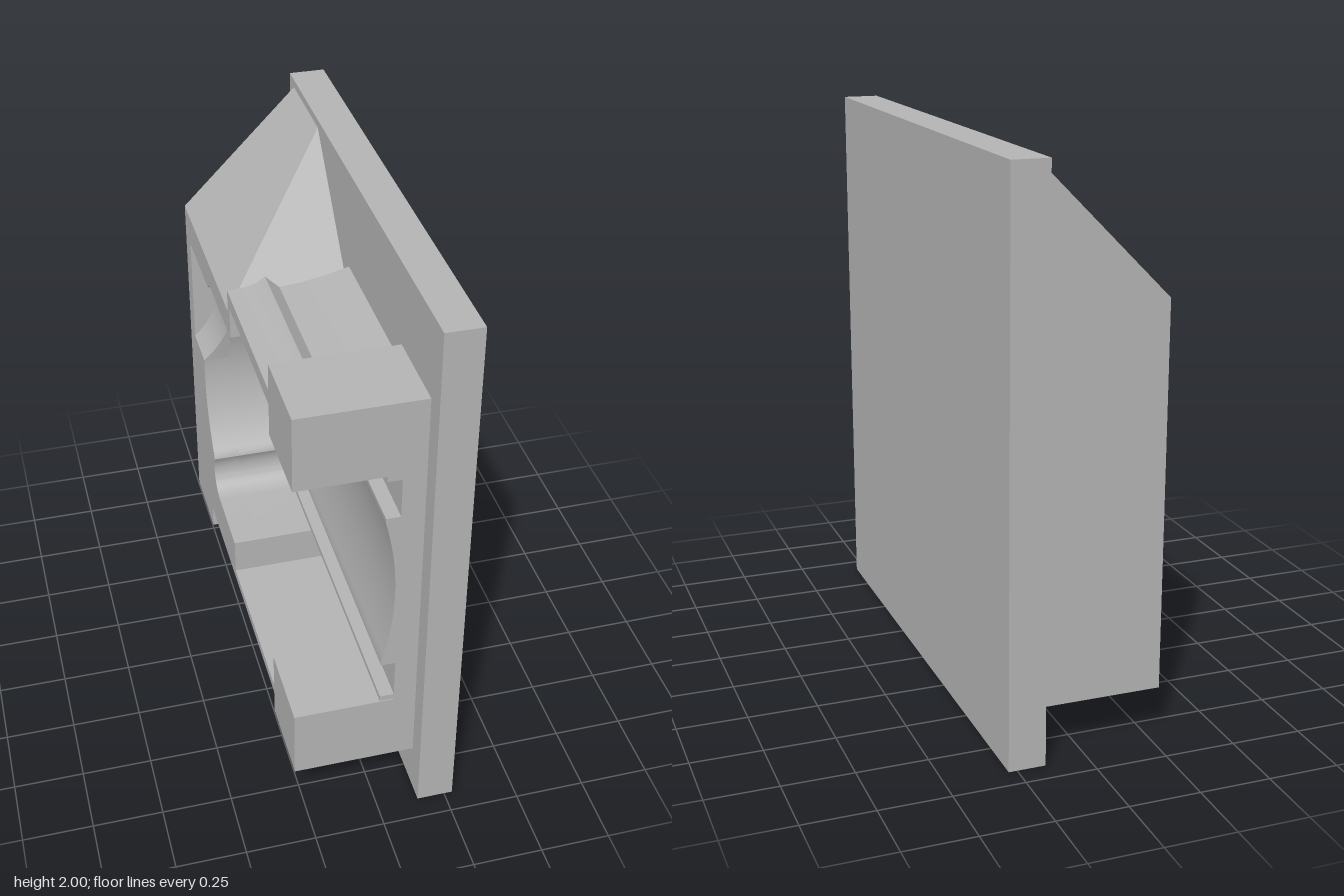
import * as THREE from 'three';
import { toCreasedNormals } from 'three/addons/utils/BufferGeometryUtils.js';
import { ConvexGeometry } from 'three/addons/geometries/ConvexGeometry.js';

const MID = 0.947; // height of the cavity centre
const OUT = -0.285, SPLIT = -0.185, BASE = 0.07, WALL = 0.15;
const LOW = 0.99, HIGH = 1.41, SCOOP_END = -0.775;

// rear limit of the cavity at height y: one large arc plus two small round slot ends
function rear(y) {
  const d = Math.abs(y - MID), e = d - 0.398;
  const big = -0.1 - Math.sqrt(Math.max(0, 0.495 ** 2 - d * d));
  const small = Math.abs(e) < 0.0951 ? -0.38 - Math.sqrt(Math.max(0, 0.095 ** 2 - e * e)) : 0;
  return Math.min(big, small);
}

const shapeOf = (pts) => new THREE.Shape(pts.map(([a, b]) => new THREE.Vector2(a, b)));

// outline of [z, y] points, extruded from x0 to x1
function slab(pts, x0, x1) {
  const g = new THREE.ExtrudeGeometry(shapeOf(pts.map(([z, y]) => [-z, y])), { depth: x1 - x0, bevelEnabled: false });
  g.rotateY(Math.PI / 2).translate(x0, 0, 0);
  return toCreasedNormals(g, 0.5);
}

// profile of [x, y] points, running from z = from(y) to z = to(y)
function bar(pts, from, to) {
  const g = new THREE.ExtrudeGeometry(shapeOf(pts), { depth: 1, bevelEnabled: false });
  const p = g.attributes.position;
  for (let i = 0; i < p.count; i++) p.setZ(i, (p.getZ(i) > 0.5 ? to : from)(p.getY(i)));
  g.computeVertexNormals();
  return toCreasedNormals(g, 0.5);
}

function cavityEdge(withScoop) {
  const pts = [];
  const n = 72;
  let entered = false, left = false;
  for (let i = 0; i <= n; i++) {
    const y = MID + 0.493 * Math.sin(Math.PI * (i / n - 0.5));
    if (withScoop && y >= LOW && !entered) {
      pts.push([rear(LOW), LOW], [SCOOP_END, LOW]);
      entered = true;
    }
    if (withScoop && y > HIGH && !left) {
      pts.push([SCOOP_END, HIGH], [rear(HIGH), HIGH]);
      left = true;
    }
    if (!withScoop || y < LOW || y > HIGH) pts.push([rear(y), y]);
  }
  return pts;
}

// outer edge of the body, split around the open front
const lowerEdge = [[-0.86, 0.18], [-0.56, 0.18], [-0.56, 0.29], [0.535, 0.29], [0.535, 0.18], [0.84, 0.18]];
const upperEdge = [[0.84, 1.715], [0.535, 1.715], [0.535, 1.6], [-0.08, 1.6], [-0.08, 1.53], [-0.86, 1.53]];

function frameOutline(withScoop) {
  return [
    ...lowerEdge,
    [0.84, 0.45], [0.535, 0.45], [0.535, 0.31], [-0.11, 0.31], [-0.11, 0.45],
    ...cavityEdge(withScoop),
    [-0.05, 1.44], [-0.05, 1.56], [0.535, 1.56], [0.535, 1.44], [0.84, 1.44],
    ...upperEdge,
  ];
}

export function createModel() {
  const model = new THREE.Group();
  const grey = new THREE.MeshStandardMaterial({ color: 0xb3b3b3 });
  grey.name = 'plain grey';
  const add = (name, geometry) => {
    const m = new THREE.Mesh(geometry, grey);
    m.name = name;
    model.add(m);
    return m;
  };

  // mounting plate
  add('plate', new THREE.BoxGeometry(0.13, 2, 1.84)).position.set(0.215, 1, 0);

  // body in layers from the plate outward
  add('bodyBacking', slab([...lowerEdge, ...upperEdge], BASE, WALL));
  add('innerFrame', slab(frameOutline(false), SPLIT, BASE));
  add('outerFrame', slab(frameOutline(true), OUT, SPLIT));

  // cavity floor with a shallow hollow, between two slots
  const front = () => 0.84;
  const floor = [[BASE, 0.625], [0.02, 0.625]];
  for (let i = 0; i <= 20; i++) {
    const t = i / 10 - 1;
    floor.push([0.02 + 0.04 * (1 - t * t), MID + 0.305 * t]);
  }
  floor.push([0.02, 1.27], [BASE, 1.27]);
  add('cavityFloor', bar(floor, rear, front));
  for (const [a, b] of [[0.454, 0.475], [1.419, 1.44]]) {
    add('slotLedge', bar([[0.02, a], [BASE, a], [BASE, b], [0.02, b]], rear, front));
  }

  // round scoop behind the cavity, open to the side
  const scoop = [], scoopBack = [];
  for (let i = 0; i <= 20; i++) {
    const y = LOW + (HIGH - LOW) * i / 20;
    scoop.push([-0.47 + Math.sqrt(0.28 ** 2 - (y - 1.2) ** 2), y]);
    scoopBack.unshift([SPLIT, y]);
  }
  add('sideScoop', bar([...scoop, ...scoopBack], () => SCOOP_END, rear));

  // strap grooves over and under the arms, each with a raised lip
  const groove = [[OUT, 0], [OUT, 0.015], [-0.22, 0.018], [-0.18, 0.03], [-0.15, 0.05],
    [-0.1, 0], [-0.02, 0.008], [0.06, 0.022], [WALL, 0.045], [WALL, -0.005], [-0.1, -0.005]];
  add('upperGroove', bar(groove.map(([x, h]) => [x, 1.6 + h]), () => -0.08, () => 0.535));
  add('lowerGroove', bar(groove.map(([x, h]) => [x, 0.29 - h]), () => -0.56, () => 0.535));

  // sloped brace above the rear of the body
  const corners = [
    [WALL, 1.97, -0.86], [WALL, 1.97, -0.51], [OUT, 1.53, -0.08],
    [OUT, 1.53, -0.86], [WALL, 1.53, -0.86], [WALL, 1.53, -0.08],
  ];
  add('brace', new ConvexGeometry(corners.map((c) => new THREE.Vector3(...c))));

  return model;
}
